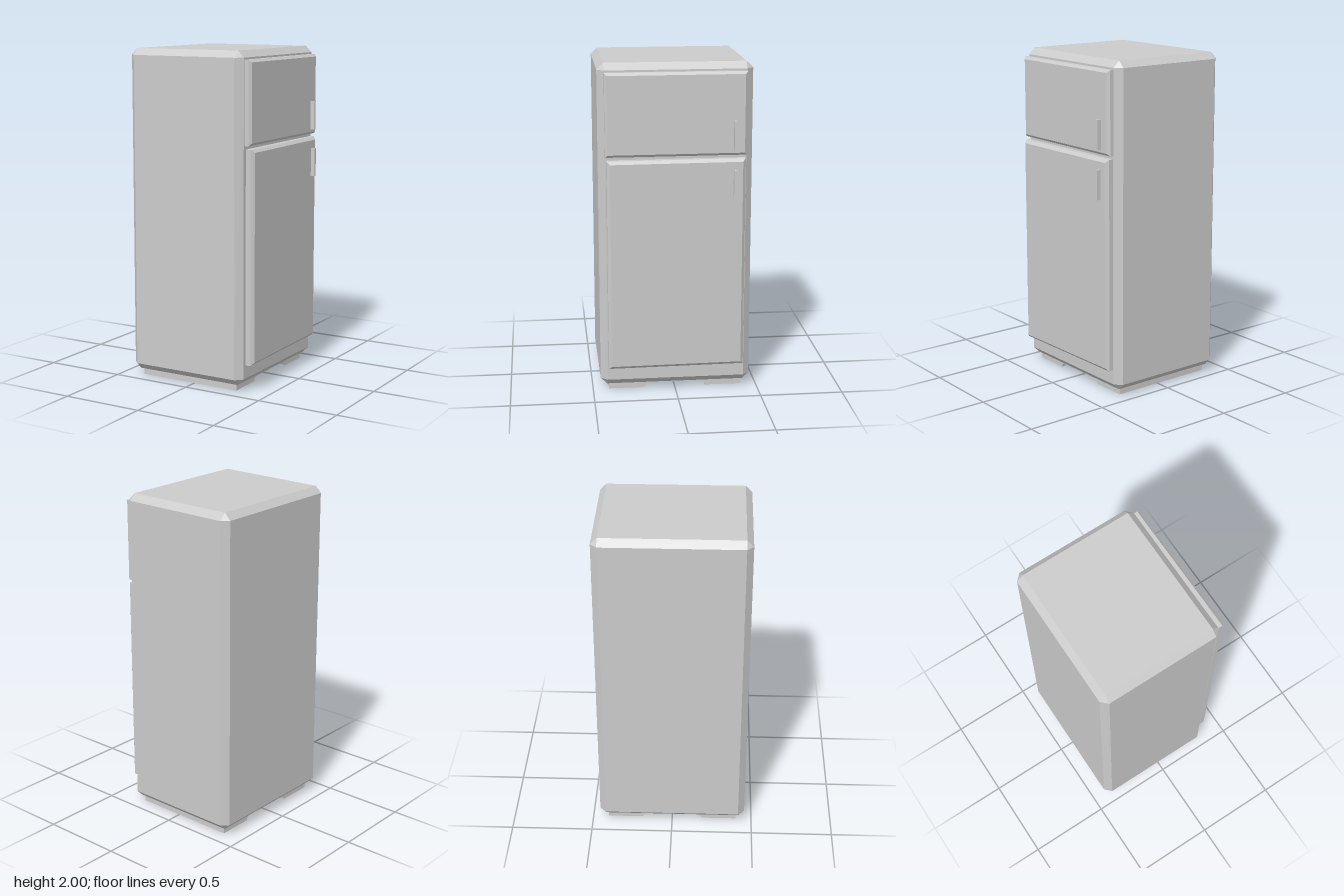
import * as THREE from 'three';
import { ConvexGeometry } from 'three/addons/geometries/ConvexGeometry.js';

const material = new THREE.MeshStandardMaterial({ color: 0xcccccc, flatShading: true });

function part(name, geometry, parent) {
  const mesh = new THREE.Mesh(geometry, material);
  mesh.name = name;
  parent.add(mesh);
  return mesh;
}

// Box with every edge cut at 45 degrees
function chamferedBox(w, h, d, c) {
  const points = [];
  for (const x of [-1, 1]) for (const y of [-1, 1]) for (const z of [-1, 1]) {
    for (let axis = 0; axis < 3; axis++) {
      const inset = [c, c, c];
      inset[axis] = 0;
      points.push(new THREE.Vector3(x * (w / 2 - inset[0]), y * (h / 2 - inset[1]), z * (d / 2 - inset[2])));
    }
  }
  return new ConvexGeometry(points);
}

// Door panel facing +x, bevelled around its outer face only, back on x = 0
function doorPanel(t, h, d, c) {
  const points = [];
  for (const y of [-1, 1]) for (const z of [-1, 1]) {
    points.push(
      new THREE.Vector3(0, y * h / 2, z * d / 2),
      new THREE.Vector3(t - c, y * h / 2, z * (d / 2)),
      new THREE.Vector3(t, y * (h / 2 - c), z * (d / 2 - c)),
    );
  }
  return new ConvexGeometry(points);
}

// Plinth wall with a rounded cut-out along its lower edge
function notchedWall(length, height, thickness) {
  const e = length / 2, n = 0.185, top = 0.027, r = 0.025;
  const shape = new THREE.Shape();
  shape.moveTo(-e, 0);
  shape.lineTo(-n, 0);
  shape.quadraticCurveTo(-n, top, -n + r * 1.6, top);
  shape.lineTo(n - r * 1.6, top);
  shape.quadraticCurveTo(n, top, n, 0);
  shape.lineTo(e, 0);
  shape.lineTo(e, height);
  shape.lineTo(-e, height);
  shape.closePath();
  const geometry = new THREE.ExtrudeGeometry(shape, { depth: thickness, bevelEnabled: false, curveSegments: 5 });
  return geometry.translate(0, 0, -thickness / 2).rotateY(Math.PI / 2);
}

export function createModel() {
  const group = new THREE.Group();
  group.name = 'refrigerator';

  // Cabinet
  part('cabinet', chamferedBox(0.768, 1.96, 0.908, 0.039), group).position.set(-0.036, 1.02, 0);

  // Doors, each slightly ajar on its own tilt, with a handle near the back edge
  const doors = [
    { name: 'freezerDoor', y0: 1.46, y1: 1.95, depth: 0.83, x: 0.349, t: 0.041, c: 0.015, tilt: 0.007, h0: 1.49, h1: 1.665, tip: 0.415 },
    { name: 'mainDoor', y0: 0.165, y1: 1.44, depth: 0.815, x: 0.35, t: 0.05, c: 0.018, tilt: 0.018, h0: 1.2, h1: 1.375, tip: 0.42 },
  ];
  for (const d of doors) {
    const door = part(d.name, doorPanel(d.t, d.y1 - d.y0, d.depth, d.c), group);
    door.position.set(d.x, (d.y0 + d.y1) / 2, 0);
    door.rotation.y = d.tilt;
    const handle = part(d.name + 'Handle', new THREE.BoxGeometry(d.tip - 0.38, d.h1 - d.h0, 0.016), group);
    handle.position.set((d.tip + 0.38) / 2, (d.h0 + d.h1) / 2, -0.343);
  }

  // Hollow plinth
  const x0 = -0.365, x1 = 0.293, depth = 0.806, wall = 0.025, height = 0.045;
  for (const [name, x] of [['plinthRightWall', x0 + wall / 2], ['plinthLeftWall', x1 - wall / 2]]) {
    part(name, notchedWall(depth, height, wall), group).position.x = x;
  }
  for (const [name, s] of [['plinthFrontWall', 1], ['plinthBackWall', -1]]) {
    part(name, new THREE.BoxGeometry(x1 - x0 - 2 * wall, height, wall), group)
      .position.set((x0 + x1) / 2, height / 2, s * (depth - wall) / 2);
  }
  return group;
}
